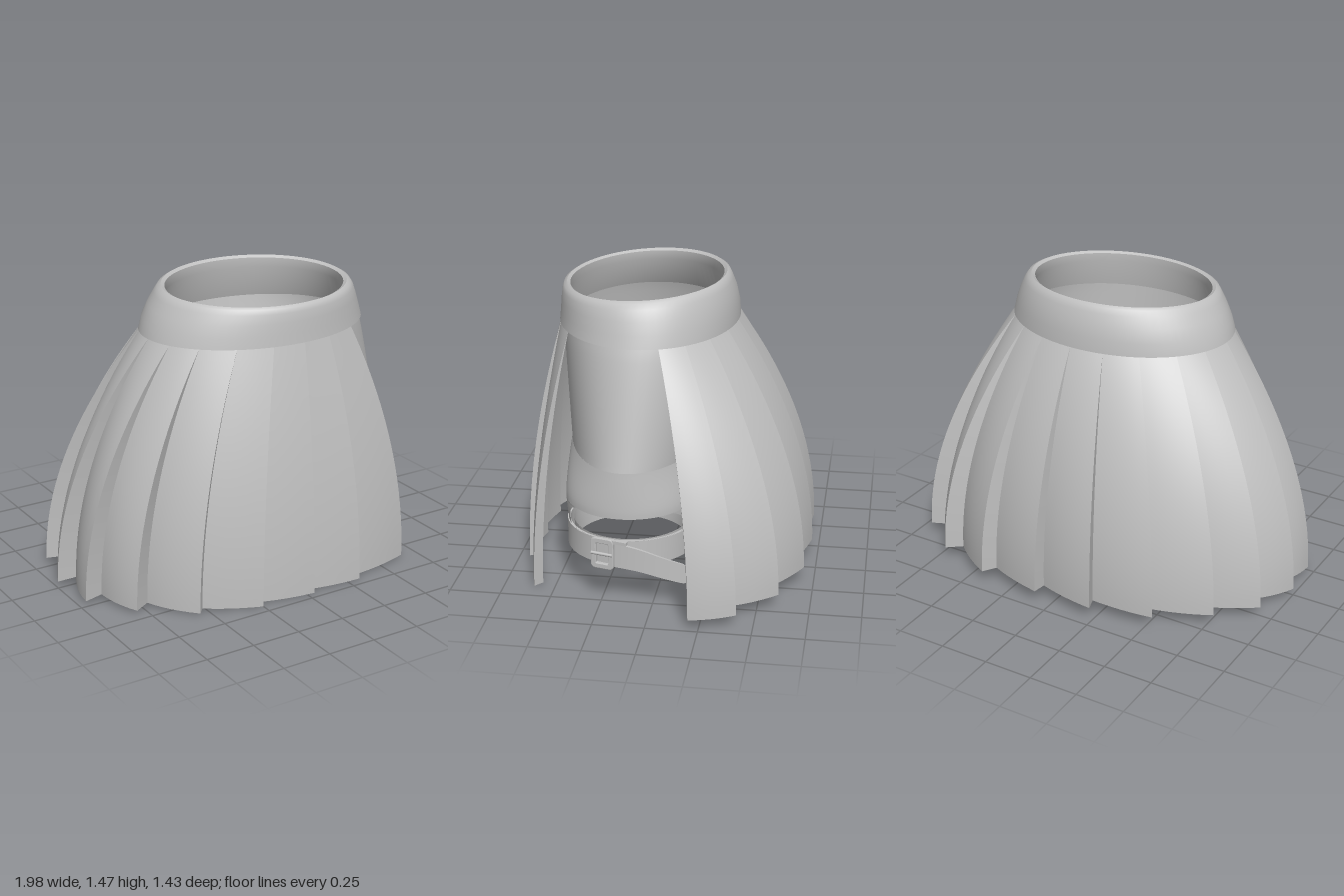
import * as THREE from 'three';
import { mergeGeometries, mergeVertices, toCreasedNormals } from 'three/addons/utils/BufferGeometryUtils.js';

const { lerp, smoothstep } = THREE.MathUtils;
const TAU = Math.PI * 2;

// Grid surface: point(u, v) returns [x, y, z] for u and v in 0..1
function surface(nu, nv, point) {
  const pos = [], idx = [];
  for (let j = 0; j <= nv; j++) {
    for (let i = 0; i <= nu; i++) {
      pos.push(...point(i / nu, j / nv));
      if (i < nu && j < nv) {
        const a = j * (nu + 1) + i, b = a + nu + 1;
        idx.push(a, b, a + 1, b, b + 1, a + 1);
      }
    }
  }
  let geo = new THREE.BufferGeometry();
  geo.setAttribute('position', new THREE.Float32BufferAttribute(pos, 3));
  geo.setIndex(idx);
  geo = mergeVertices(geo, 1e-5);
  geo.computeVertexNormals();
  return geo;
}

// Strap with a rectangular section swept along a path, its width staying upright
function ribbon(path, steps, width, thick) {
  const corners = [[1, 1], [-1, 1], [-1, -1], [1, -1], [1, 1]];
  const strip = surface(4, steps, (u, v) => {
    const [o, h] = corners[Math.round(u * 4)];
    const p = path.getPointAt(v), t = path.getTangentAt(v);
    const out = new THREE.Vector3(t.z, 0, -t.x).normalize();
    p.addScaledVector(out, o * thick / 2);
    return [p.x, p.y + h * width(v) / 2, p.z];
  });
  return toCreasedNormals(strip, 0.7);
}

// Pleat corners along the hem [x, z], from the front slit edge round to the rear one
const HEM = [[0.66, 0.6], [0.32, 0.7], [0.04, 0.71], [-0.25, 0.7], [-0.55, 0.61], [-0.8, 0.44],
  [-0.97, 0.24], [-1, 0], [-0.94, -0.25], [-0.78, -0.44], [-0.54, -0.62], [-0.24, -0.71],
  [0.07, -0.72], [0.4, -0.7], [0.7, -0.6], [0.92, -0.42], [0.98, -0.2]];
const SQUASH = 0.71;
const corners = HEM.map(([x, z]) => {
  const a = Math.atan2(z / SQUASH, x);
  return { a: a < 0 ? a + TAU : a, r: Math.hypot(x, z / SQUASH) };
});

// Skirt wall: an ellipse at the waist flaring to radius r at the hem; v runs downwards
function skirtPoint(a, r, v) {
  const f = 1 - Math.pow(1 - v, 1.95), c = Math.cos(a), s = Math.sin(a);
  const hemZ = SQUASH * r * s;
  return [
    lerp(0.05 + 0.578 * c, r * c, f),
    lerp(1.252, 0.045 - 0.05 * hemZ, v),
    lerp(0.11 + 0.436 * s, hemZ, f),
  ];
}

function skirtGeometry() {
  const parts = [], last = corners.length - 1;
  const fold = (a, r0, r1) => parts.push(surface(1, 24, (u, v) => skirtPoint(a, lerp(r0, r1, u), v)));
  for (let i = 0; i < last; i++) {
    const p = corners[i], q = corners[i + 1];
    const depth = i === last - 1 ? 0 : i < 4 ? 0.06 : 0.1;
    const inner = q.r * (1 - depth);
    parts.push(surface(6, 24, (u, v) => skirtPoint(lerp(p.a, q.a, u), lerp(p.r, inner, u), v)));
    if (depth) fold(q.a, inner, q.r);
  }
  // turned-in edges of the slit
  fold(corners[0].a, corners[0].r * 0.94, corners[0].r);
  fold(corners[last].a, corners[last].r, corners[last].r * 0.96);
  return mergeGeometries(parts);
}

// Waistband sections: y, centre x, centre z, radius x, radius z
const BAND = [[1.25, 0.05, 0.11, 0.54, 0.41], [1.25, 0.05, 0.11, 0.586, 0.442], [1.31, 0.05, 0.11, 0.568, 0.437],
  [1.37, 0.055, 0.115, 0.542, 0.428], [1.42, 0.06, 0.122, 0.515, 0.415], [1.445, 0.06, 0.125, 0.497, 0.405],
  [1.455, 0.06, 0.125, 0.478, 0.39], [1.445, 0.06, 0.125, 0.46, 0.375], [1.4, 0.06, 0.125, 0.462, 0.375],
  [1.25, 0.05, 0.11, 0.54, 0.41]];

function bandGeometry() {
  const geo = surface(72, BAND.length - 1, (u, v) => {
    const [y, cx, cz, rx, rz] = BAND[Math.round(v * (BAND.length - 1))];
    const z = cz + rz * Math.sin(u * TAU);
    return [cx + rx * Math.cos(u * TAU), y - 0.05 * (z - 0.12) * (y - 1.25) / 0.2, z];
  });
  return toCreasedNormals(geo, 0.9);
}

// Shorts: the hips are ellipses, which split into two round legs below the crotch
const CX = 0.05, CROTCH = 0.68;
function hipPoint(u, v) {
  const a = u * TAU;
  const rx = lerp(0.572, 0.71, Math.pow(v, 0.85)), rz = lerp(0.425, 0.35, v);
  return [CX + rx * Math.sin(a), lerp(1.26, CROTCH, v), lerp(0.11, 0.14, v) + rz * Math.cos(a)];
}

function legPoint(side, a, y, scale = 1) {
  const g = Math.sqrt(1 - smoothstep(y, 0.45, CROTCH));
  const taper = smoothstep(y, 0.2, 0.48);
  const sn = Math.sin(a), cs = Math.cos(a);
  const hip = 0.71 * Math.max(0, sn);
  const leg = 0.385 + lerp(0.3, 0.335, taper) * sn * scale;
  const rz = lerp(0.35, lerp(0.3, 0.32, taper) * scale, g);
  return [CX + side * lerp(hip, leg, g), y, lerp(0.14, 0.15, g) + rz * cs];
}

function legGeometry(side, hasWindow) {
  const parts = [
    surface(48, 12, (u, v) => legPoint(side, u * TAU, lerp(CROTCH, 0.45, v))),
    surface(48, 4, (u, v) => legPoint(side, u * TAU, lerp(0.33, 0.2, v))),
    surface(48, 1, (u, v) => legPoint(side, u * TAU, 0.2, lerp(1, 0.92, v))),
    surface(48, 3, (u, v) => legPoint(side, u * TAU, lerp(0.2, 0.33, v), 0.92)),
  ];
  // wall between thigh and cuff, open on the outer side where there is a window
  parts.push(surface(48, 8, (u, v) => {
    const half = hasWindow ? 1.08 - 0.25 * Math.pow(1 - v, 4) : 0;
    const a = Math.PI / 2 + lerp(half, TAU - half, u);
    return legPoint(side, a, lerp(0.45, 0.33, v));
  }));
  return mergeGeometries(parts);
}

// Rectangular buckle frame with an opening
function buckleGeometry() {
  const rect = (path, w, h, r) => {
    path.moveTo(-w + r, -h).lineTo(w - r, -h).quadraticCurveTo(w, -h, w, -h + r);
    path.lineTo(w, h - r).quadraticCurveTo(w, h, w - r, h);
    path.lineTo(-w + r, h).quadraticCurveTo(-w, h, -w, h - r);
    path.lineTo(-w, -h + r).quadraticCurveTo(-w, -h, -w + r, -h);
    return path;
  };
  const shape = rect(new THREE.Shape(), 0.055, 0.075, 0.02);
  shape.holes.push(rect(new THREE.Path(), 0.036, 0.056, 0.01));
  return new THREE.ExtrudeGeometry(shape, {
    depth: 0.014, bevelThickness: 0.004, bevelSize: 0.004, bevelSegments: 2, curveSegments: 5,
  });
}

export function createModel() {
  const model = new THREE.Group();
  const cloth = new THREE.MeshStandardMaterial({ color: 0xc0c0c0, side: THREE.DoubleSide });
  cloth.name = 'light grey cloth';
  const add = (name, geo, parent = model) => {
    const mesh = new THREE.Mesh(geo, cloth);
    mesh.name = name;
    parent.add(mesh);
    return mesh;
  };

  add('pleatedSkirt', skirtGeometry());
  add('waistband', bandGeometry());
  add('shortsHips', surface(64, 16, hipPoint));
  add('shortsLeftLeg', legGeometry(1, true));
  add('shortsRightLeg', legGeometry(-1, false));

  // Strap round the left thigh
  const loop = [];
  for (let i = 0; i < 24; i++) {
    const a = i / 24 * TAU;
    loop.push(new THREE.Vector3(0.435 + 0.308 * Math.cos(a), 0.265, 0.15 + 0.308 * Math.sin(a)));
  }
  add('thighStrap', ribbon(new THREE.CatmullRomCurve3(loop, true), 64, () => 0.128, 0.014));

  // Loose strap end hanging behind the buckle
  const tail = new THREE.CatmullRomCurve3([[0.735, 0.265, 0.28], [0.762, 0.262, 0.18], [0.772, 0.245, 0.06],
    [0.76, 0.205, -0.06], [0.725, 0.165, -0.16], [0.705, 0.155, -0.19]].map(p => new THREE.Vector3(...p)));
  add('strapEnd', ribbon(tail, 28, v => v > 0.9 ? lerp(0.095, 0.05, (v - 0.9) * 10) : lerp(0.13, 0.095, v), 0.014));

  // Buckle with prong and keeper
  const buckle = new THREE.Group();
  buckle.name = 'buckle';
  buckle.position.set(0.755, 0.267, 0.235);
  buckle.rotation.y = Math.PI / 2 - 0.25;
  model.add(buckle);
  add('buckleFrame', buckleGeometry(), buckle);
  const prong = add('buckleProng', new THREE.CylinderGeometry(0.008, 0.008, 0.11, 10), buckle);
  prong.rotation.z = Math.PI / 2;
  prong.position.set(0, 0, 0.018);
  const keeper = add('strapKeeper', new THREE.BoxGeometry(0.13, 0.016, 0.022), buckle);
  keeper.position.set(0.06, 0.068, 0.004);
  return model;
}
